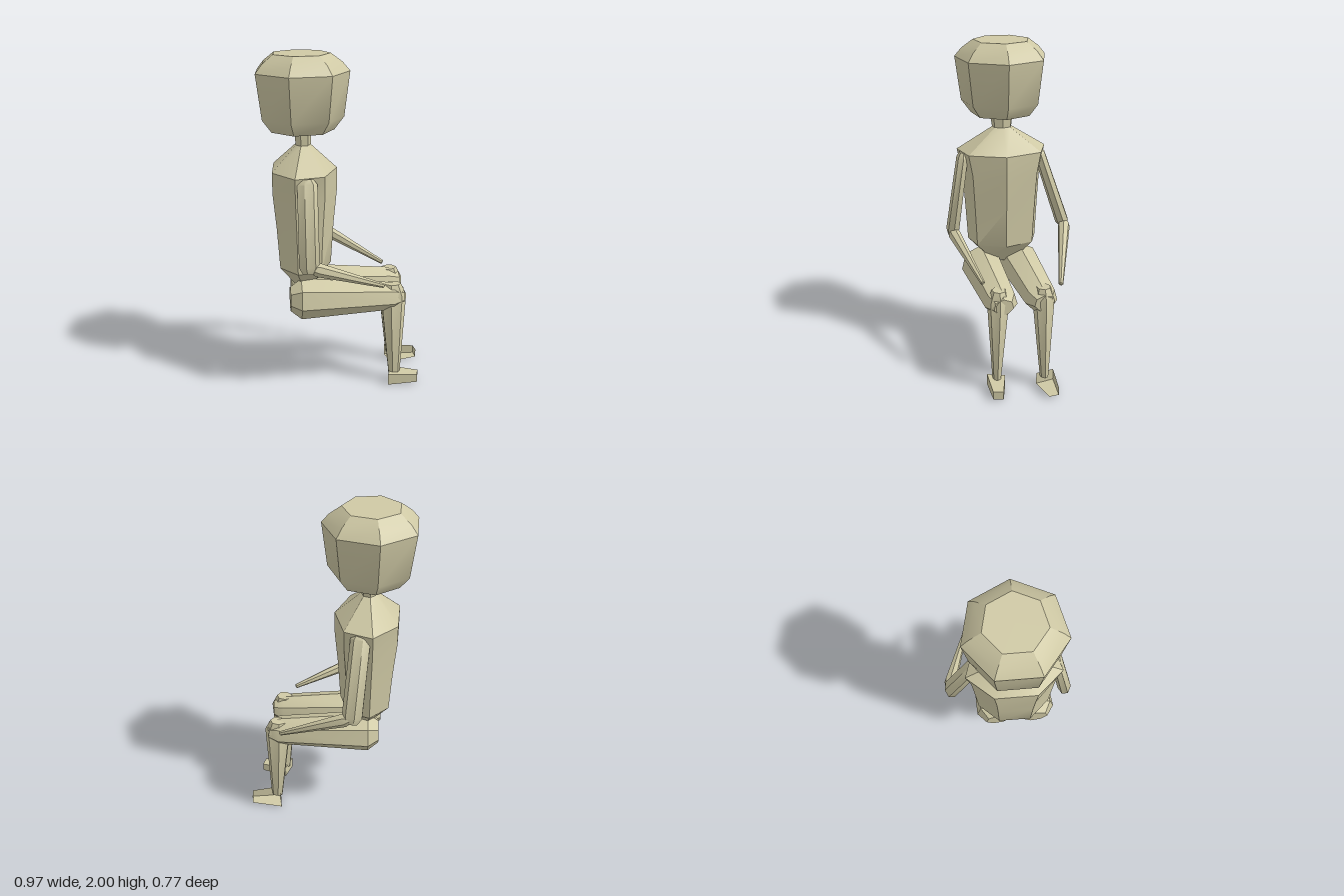
import * as THREE from 'three';
import { toCreasedNormals } from 'three/addons/utils/BufferGeometryUtils.js';

const SIDES = 7;

// Lofts seven-sided rings along the line a -> b.
// Each ring is [distance from a, radius along ref, radius across].
function loft(a, b, ref, rings) {
  const start = new THREE.Vector3(...a);
  const d = new THREE.Vector3(...b).sub(start).normalize();
  const u = new THREE.Vector3(...ref);
  u.addScaledVector(d, -u.dot(d)).normalize();
  const v = new THREE.Vector3().crossVectors(d, u);
  const pos = [];
  const centre = (r) => start.clone().addScaledVector(d, r[0]);
  const corner = (r, j) => {
    const t = (j % SIDES) / SIDES * Math.PI * 2;
    return centre(r).addScaledVector(u, Math.cos(t) * r[1]).addScaledVector(v, Math.sin(t) * r[2]);
  };
  const tri = (...pts) => pts.forEach((p) => pos.push(p.x, p.y, p.z));
  const first = rings[0], last = rings[rings.length - 1];
  for (let j = 0; j < SIDES; j++) {
    tri(centre(first), corner(first, j + 1), corner(first, j));
    for (let i = 0; i < rings.length - 1; i++) {
      const p = rings[i], q = rings[i + 1];
      tri(corner(p, j), corner(p, j + 1), corner(q, j + 1));
      tri(corner(p, j), corner(q, j + 1), corner(q, j));
    }
    tri(centre(last), corner(last, j), corner(last, j + 1));
  }
  const geo = new THREE.BufferGeometry();
  geo.setAttribute('position', new THREE.Float32BufferAttribute(pos, 3));
  return toCreasedNormals(geo, 0.55);
}

// Limb with bevelled ends: r0 and r1 are [along ref, across] radii, bevel lengths at each end
function limb(a, b, ref, r0, r1, bevel0, bevel1) {
  const len = new THREE.Vector3(...a).distanceTo(new THREE.Vector3(...b));
  return loft(a, b, ref, [
    [0, r0[0] * 0.6, r0[1] * 0.6],
    [bevel0, ...r0],
    [len - bevel1, ...r1],
    [len, r1[0] * 0.6, r1[1] * 0.6],
  ]);
}

// Wedge-shaped foot: wide heel, narrow low toe, straight outer edge
function foot(heelX, toeX, inner, outer, toeInner, toeOuter) {
  const geo = new THREE.BoxGeometry(1, 1, 1);
  const p = geo.attributes.position;
  const s = Math.sign(outer);
  for (let i = 0; i < p.count; i++) {
    const toe = p.getX(i) > 0;
    const top = p.getY(i) > 0;
    const out = p.getZ(i) * s > 0;
    p.setXYZ(i,
      toe ? toeX - (out ? 0.01 : 0) : heelX + (out ? 0 : 0.03),
      top ? (toe ? 0.06 : 0.072) : (toe ? 0.01 : 0),
      toe ? (out ? toeOuter : toeInner) : (out ? outer : inner));
  }
  const flat = geo.toNonIndexed();
  flat.computeVertexNormals();
  return flat;
}

export function createModel() {
  const group = new THREE.Group();
  const clay = new THREE.MeshStandardMaterial({ color: 0xcfc9a5 });
  clay.name = 'clay';
  const add = (name, geo) => {
    const mesh = new THREE.Mesh(geo, clay);
    mesh.name = name;
    group.add(mesh);
  };
  const X = [1, 0, 0], Y = [0, 1, 0];

  // Head, widest near the top
  add('head', loft([-0.233, 0, 0.028], [-0.233, 1, 0.028], X, [
    [1.545, 0.08, 0.08], [1.565, 0.188, 0.188], [1.64, 0.245, 0.245],
    [1.9, 0.279, 0.279], [1.95, 0.237, 0.237], [2, 0.169, 0.169],
  ]));

  // Torso and neck, broader across the shoulders than front to back
  add('torso', loft([-0.228, 0, 0.029], [-0.228, 1, 0.029], X, [
    [0.62, 0.06, 0.085], [0.65, 0.083, 0.12], [0.75, 0.159, 0.22], [1.0, 0.176, 0.235],
    [1.21, 0.197, 0.25], [1.34, 0.197, 0.28], [1.48, 0.046, 0.06], [1.55, 0.05, 0.07],
  ]));

  // Joint positions of each side of the body
  const sides = [
    {
      name: 'right', shoulder: [-0.207, 1.335, 0.27], elbow: [-0.2, 0.8, 0.35], hand: [0.24, 0.665, 0.218],
      hip: [-0.315, 0.572, 0.17], knee: [0.365, 0.562, 0.115], kneeTop: [0.3, 0.645, 0.135], ankle: [0.315, 0.05, 0.153],
      foot: [0.275, 0.465, 0.1, 0.207, 0.135, 0.195],
    },
    {
      name: 'left', shoulder: [-0.205, 1.335, -0.19], elbow: [-0.172, 0.83, -0.355], hand: [0.27, 0.635, -0.242],
      hip: [-0.315, 0.575, -0.07], knee: [0.36, 0.565, -0.125], kneeTop: [0.298, 0.645, -0.132], ankle: [0.322, 0.05, -0.137],
      foot: [0.285, 0.485, -0.09, -0.2, -0.135, -0.195],
    },
  ];
  for (const s of sides) {
    // Arm
    add(s.name + 'UpperArm', limb(s.shoulder, s.elbow, X, [0.06, 0.036], [0.062, 0.042], 0.03, 0.04));
    const start = [s.elbow[0] + 0.01, s.elbow[1] + 0.035, s.elbow[2]];
    add(s.name + 'Forearm', limb(start, s.hand, Y, [0.042, 0.038], [0.014, 0.014], 0.04, 0.005));
    // Leg
    add(s.name + 'Thigh', limb(s.hip, s.knee, Y, [0.125, 0.128], [0.084, 0.1], 0.065, 0.065));
    add(s.name + 'Shin', limb(s.kneeTop, s.ankle, X, [0.08, 0.068], [0.036, 0.026], 0.07, 0.005));
    add(s.name + 'Foot', foot(...s.foot));
  }
  // The mirrored foot needs its faces turned
  const leftFoot = group.getObjectByName('leftFoot').geometry;
  const p = leftFoot.attributes.position;
  for (let i = 0; i < p.count; i += 3) {
    const b = new THREE.Vector3().fromBufferAttribute(p, i + 1);
    const c = new THREE.Vector3().fromBufferAttribute(p, i + 2);
    p.setXYZ(i + 1, ...c.toArray());
    p.setXYZ(i + 2, ...b.toArray());
  }
  leftFoot.computeVertexNormals();
  return group;
}
